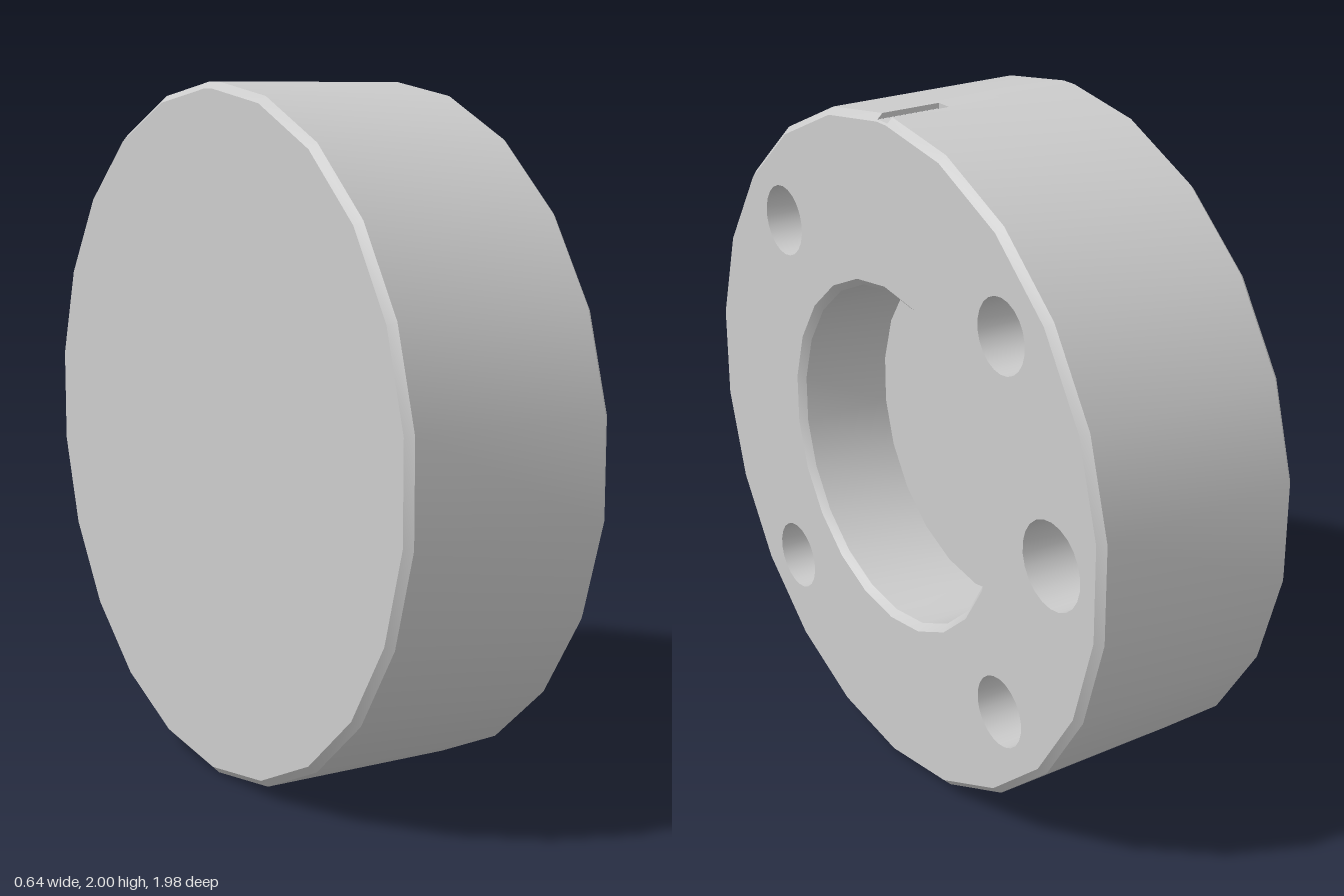
import * as THREE from 'three';
import { mergeGeometries, toCreasedNormals } from 'three/addons/utils/BufferGeometryUtils.js';

const SIDES = 22, HALF = 0.32, SLOT = 0.025;
const STEP = (2 * Math.PI) / SIDES;
const fullTurn = Array.from({ length: SIDES + 1 }, (_, i) => (i % SIDES) * STEP);
// same turn, left open for the slot strip at the top
const openTurn = [SLOT, ...fullTurn.slice(1, SIDES), -SLOT];

// Sweeps a profile of [radius, x] round an axis parallel to x
function revolve(profile, angles, cy = 1, cz = 0) {
  const pos = [];
  const at = ([r, x], a) => [x, cy + r * Math.cos(a), cz + r * Math.sin(a)];
  for (let i = 0; i < profile.length - 1; i++) {
    const p = profile[i], q = profile[i + 1];
    for (let j = 0; j < angles.length - 1; j++) {
      const a = angles[j], b = angles[j + 1];
      if (p[0] > 0) pos.push(...at(p, a), ...at(p, b), ...at(q, b));
      if (q[0] > 0) pos.push(...at(p, a), ...at(q, b), ...at(q, a));
    }
  }
  const g = new THREE.BufferGeometry();
  g.setAttribute('position', new THREE.Float32BufferAttribute(pos, 3));
  return g;
}

const ring = (r, angles, cy = 1, cz = 0) => angles.slice(0, SIDES)
  .map((a) => new THREE.Vector2(-(cz + r * Math.sin(a)), cy + r * Math.cos(a)));

export function createModel() {
  const group = new THREE.Group();
  const material = new THREE.MeshStandardMaterial({ color: 0xcccccc });
  const thin = new THREE.MeshStandardMaterial({ color: 0xcccccc, side: THREE.DoubleSide });
  const add = (name, geometry, mat = material) => {
    const mesh = new THREE.Mesh(geometry, mat);
    mesh.name = name;
    group.add(mesh);
  };

  // Disc body with chamfered rims; the narrow strip steps down into the slot
  const back = [[0, -HALF], [0.98, -HALF], [1, -0.3]];
  const main = revolve([...back, [1, 0.3], [0.98, HALF]], openTurn);
  const strip = revolve(
    [...back, [1, 0.12], [0.985, 0.12], [0.985, 0.315], [0.98, HALF]], [-SLOT, SLOT]);
  add('discBody', toCreasedNormals(mergeGeometries([main, strip]), 0.5));

  // Slot side walls
  const wall = new THREE.Shape([[0.12, 1], [0.12, 0.985], [0.315, 0.985], [0.3, 1]]
    .map(([x, r]) => new THREE.Vector2(x, 1 + r * Math.cos(SLOT))));
  for (const s of [-1, 1]) {
    add('slotWall', new THREE.ShapeGeometry(wall).translate(0, 0, s * Math.sin(SLOT)), thin);
  }

  // Drilled holes: [radius, y, z]
  const holes = [[0.125, 1, -0.785]];
  for (const sy of [-1, 1]) for (const sz of [-1, 1]) holes.push([0.105, 1 + sy * 0.557, sz * 0.557]);

  // Pierced face
  const face = new THREE.Shape([
    ...ring(0.98, openTurn), new THREE.Vector2(0.98 * Math.sin(SLOT), 1 + 0.98 * Math.cos(SLOT))]);
  face.holes.push(new THREE.Path(ring(0.52, fullTurn)));
  for (const [r, y, z] of holes) face.holes.push(new THREE.Path(ring(r, fullTurn, y, z)));
  add('face', new THREE.ShapeGeometry(face).rotateY(Math.PI / 2).translate(HALF, 0, 0));

  // Blind centre bore with chamfered mouth
  add('bore', toCreasedNormals(
    revolve([[0.52, HALF], [0.5, 0.3], [0.5, 0.02], [0, 0.02]], fullTurn), 0.5));

  // Blind holes with conical ends
  for (const [r, y, z] of holes) {
    add('drilledHole', toCreasedNormals(
      revolve([[r, HALF], [r, 0.02], [0, 0.02 - r * 0.6]], fullTurn, y, z), 0.5));
  }
  return group;
}
